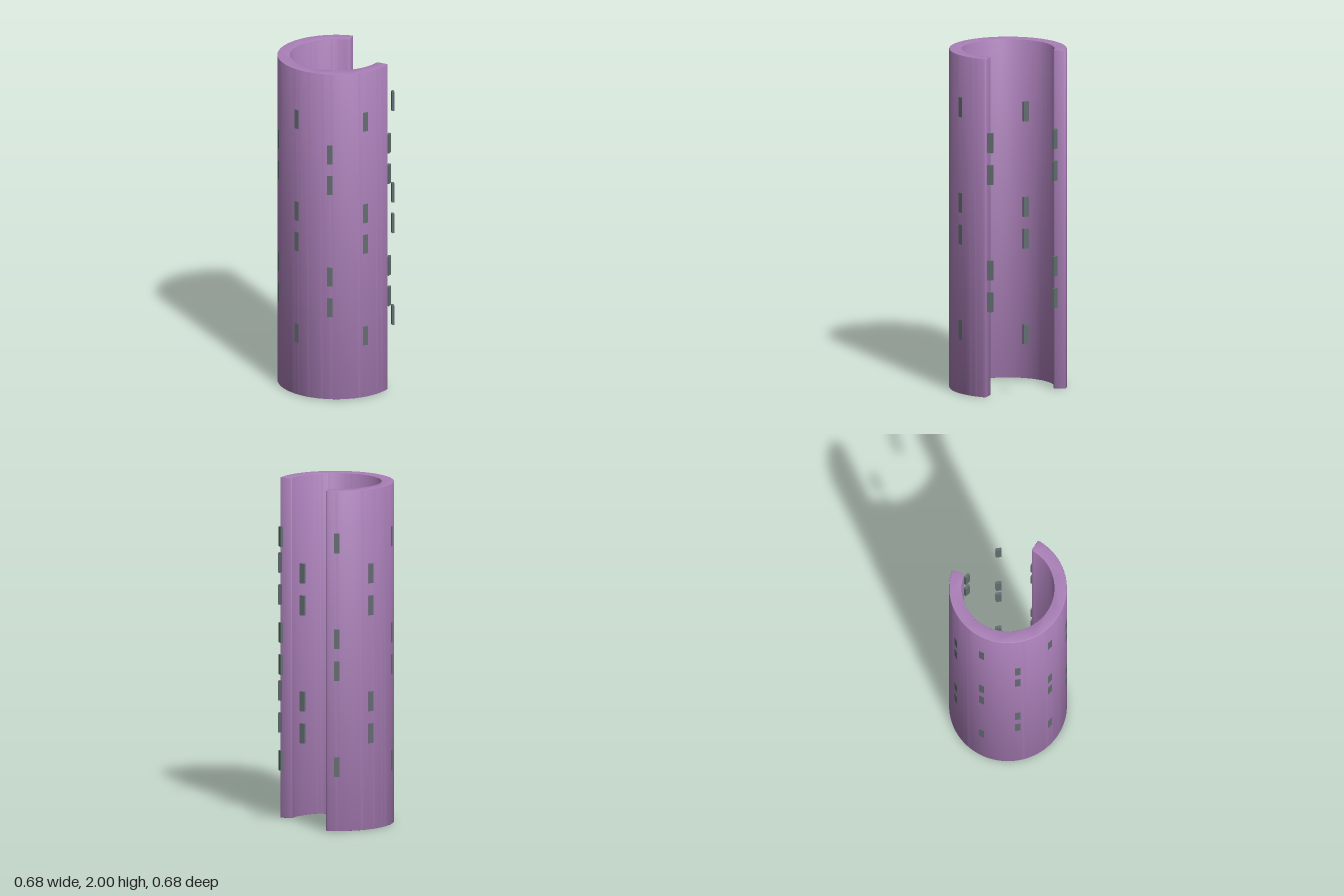
import * as THREE from 'three';
import { toCreasedNormals } from 'three/addons/utils/BufferGeometryUtils.js';

const OUTER = 0.341, INNER = 0.268, HEIGHT = 2;
const START = THREE.MathUtils.degToRad(25.5), END = THREE.MathUtils.degToRad(284);

// C-shaped outline with softly rounded ends
function wallOutline() {
  const points = [], round = 0.007, steps = 4, arcSteps = 110;
  const add = (r, a) => points.push(new THREE.Vector2(r * Math.cos(a), r * Math.sin(a)));
  // corner: radius and angle of the rounding's centre, first direction of its quarter turn
  const corner = (r, a, from) => {
    for (let i = 0; i <= steps; i++) {
      const t = from + (i / steps) * Math.PI / 2;
      add(r + round * Math.cos(t), a + round * Math.sin(t) / r);
    }
  };
  const arc = (r, a0, a1) => {
    for (let i = 1; i < arcSteps; i++) add(r, a0 + (a1 - a0) * i / arcSteps);
  };
  const dOut = round / (OUTER - round), dIn = round / (INNER + round);
  corner(OUTER - round, START + dOut, -Math.PI / 2);
  arc(OUTER, START + dOut, END - dOut);
  corner(OUTER - round, END - dOut, 0);
  corner(INNER + round, END - dIn, Math.PI / 2);
  arc(INNER, END - dIn, START + dIn);
  corner(INNER + round, START + dIn, Math.PI);
  return new THREE.Shape(points);
}

export function createModel() {
  const model = new THREE.Group();
  model.name = 'slottedTube';
  const wallMaterial = new THREE.MeshStandardMaterial({ color: 0xaa7fb8 });
  const tabMaterial = new THREE.MeshStandardMaterial({ color: 0x626e70 });

  // Open tube wall, with slightly eased rims
  const bevel = 0.003;
  const wallGeometry = new THREE.ExtrudeGeometry(wallOutline(), {
    depth: HEIGHT - 2 * bevel, bevelEnabled: true, bevelThickness: bevel,
    bevelSize: bevel, bevelOffset: -bevel, bevelSegments: 2,
  });
  wallGeometry.translate(0, 0, bevel);
  wallGeometry.rotateX(-Math.PI / 2);
  const wall = new THREE.Mesh(toCreasedNormals(wallGeometry, 0.6), wallMaterial);
  wall.name = 'tubeWall';
  model.add(wall);

  // Ten columns of small tabs, alternating between two height patterns
  const tabGeometry = new THREE.BoxGeometry(0.016, 0.116, 0.033);
  const patterns = [[3, 4, 7, 8], [2, 5, 6, 9]];
  for (let column = 0; column < 10; column++) {
    const group = new THREE.Group();
    group.name = `tabColumn${column + 1}`;
    group.rotation.y = -column * Math.PI / 5;
    for (const row of patterns[column % 2]) {
      const tab = new THREE.Mesh(tabGeometry, tabMaterial);
      tab.name = 'tab';
      tab.position.set(0.3337, row * 0.188, 0);
      group.add(tab);
    }
    model.add(group);
  }
  return model;
}
